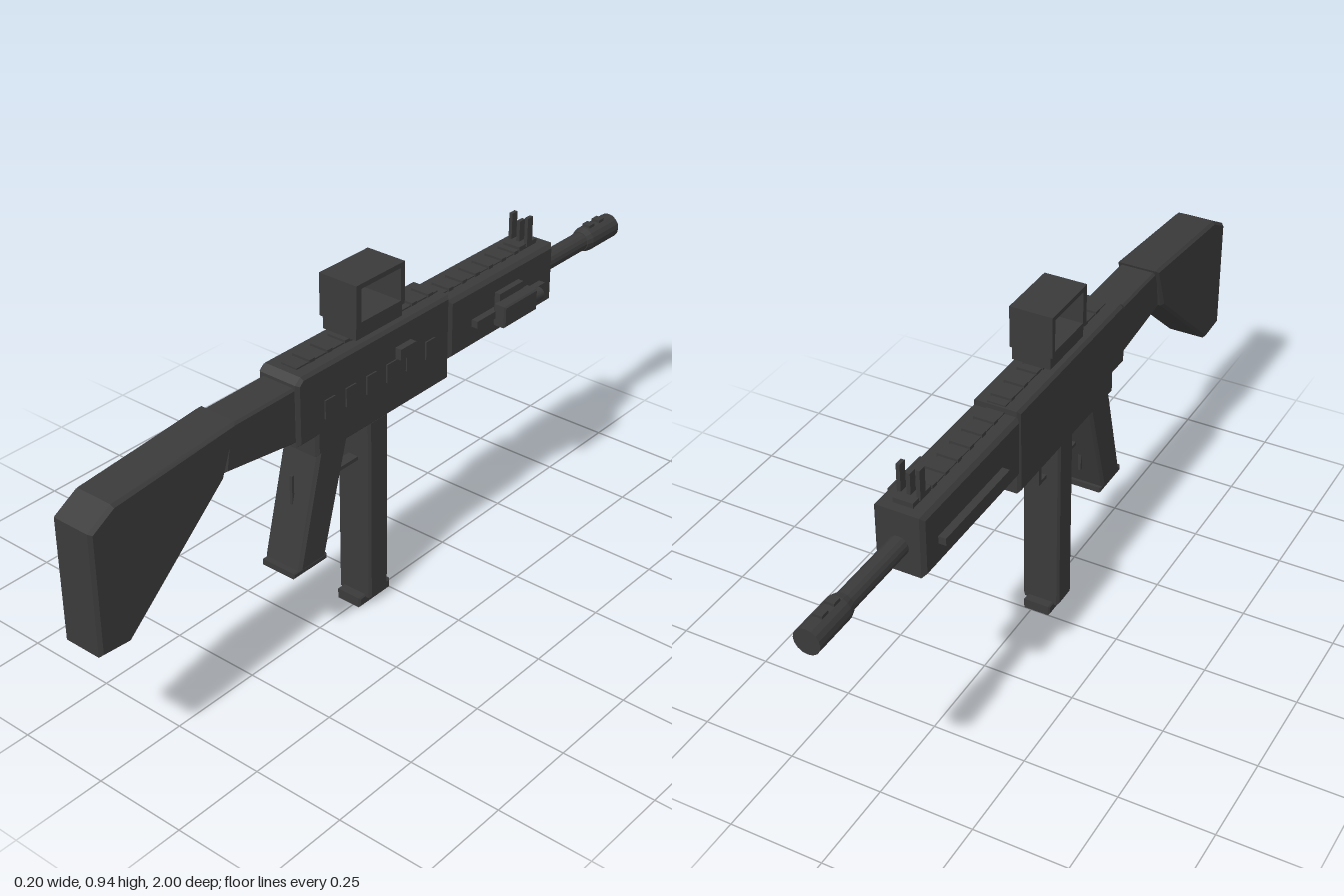
import * as THREE from 'three';

const CX = -0.016; // centre plane of the gun body

export function createModel() {
  const model = new THREE.Group();
  const gunmetal = new THREE.MeshStandardMaterial({ color: 0x3a3a3a });
  gunmetal.name = 'gunmetal';

  const add = (name, geometry) => {
    const mesh = new THREE.Mesh(geometry, gunmetal);
    mesh.name = name;
    model.add(mesh);
    return mesh;
  };

  // Box given by its extents
  const box = (name, x0, x1, y0, y1, z0, z1) => {
    const g = new THREE.BoxGeometry(x1 - x0, y1 - y0, z1 - z0);
    g.translate((x0 + x1) / 2, (y0 + y1) / 2, (z0 + z1) / 2);
    return add(name, g);
  };

  // Side profile of [z, y] points, extruded across x with chamfered edges
  const slab = (name, points, x0, x1, bevel = 0, hole = null) => {
    const toVec = (p) => new THREE.Vector2(p[0], p[1]);
    const shape = new THREE.Shape(points.map(toVec));
    if (hole) shape.holes.push(new THREE.Path(hole.map(toVec)));
    const g = new THREE.ExtrudeGeometry(shape, {
      depth: x1 - x0 - 2 * bevel, bevelEnabled: bevel > 0,
      bevelThickness: bevel, bevelSize: bevel, bevelOffset: -bevel, bevelSegments: 1,
    });
    g.rotateY(-Math.PI / 2);
    g.translate(x1 - bevel, 0, 0);
    return add(name, g);
  };
  const rect = (z0, z1, y0, y1) => [[z0, y0], [z1, y0], [z1, y1], [z0, y1]];

  // Turned part along the barrel axis, profile of [radius, z] points
  const turned = (name, profile) => {
    const g = new THREE.LatheGeometry(profile.map(([r, z]) => new THREE.Vector2(r, -z)), 16);
    g.rotateX(-Math.PI / 2);
    g.translate(CX, 0.672, 0);
    return add(name, g);
  };

  // Stock and its neck
  slab('stock', [[1, 0.37], [1, 0.69], [0.93, 0.73], [0.555, 0.762], [0.6, 0.635], [0.91, 0.363]],
    -0.075, 0.043, 0.008);
  slab('stockNeck', [[0.59, 0.64], [0.57, 0.755], [0.34, 0.757], [0.34, 0.607]], -0.067, 0.035, 0.006);

  // Receiver and fore-end
  slab('receiver', [[0.358, 0.6], [0.358, 0.765], [0.34, 0.78], [-0.205, 0.78], [-0.205, 0.545],
    [0.295, 0.545], [0.295, 0.6]], -0.08, 0.045, 0.008);
  slab('foreEnd', rect(-0.64, -0.2, 0.6, 0.765), -0.081, 0.049, 0.01);
  slab('lowerRail', rect(-0.58, -0.29, 0.577, 0.605), -0.046, 0.014, 0.004);

  // Side rails along the fore-end
  box('leftRail', 0.045, 0.068, 0.66, 0.68, -0.58, -0.29);
  box('rightRail', -0.101, -0.078, 0.66, 0.68, -0.58, -0.29);

  // Side lamp with its knob
  slab('sideLamp', rect(-0.505, -0.365, 0.64, 0.7), 0.06, 0.098, 0.004);
  box('lampClamp', 0.046, 0.066, 0.645, 0.72, -0.485, -0.385);
  const lampHead = new THREE.CylinderGeometry(0.018, 0.018, 0.04, 12);
  lampHead.rotateX(Math.PI / 2);
  lampHead.translate(0.078, 0.668, -0.52);
  add('lampHead', lampHead);

  // Bolt knob and raised ribs on the left wall
  box('boltKnob', 0.04, 0.063, 0.692, 0.722, -0.05, 0.008);
  for (let i = 0; i < 6; i++) {
    const z = 0.25 - i * 0.075;
    box('wallRib', 0.04, 0.049, 0.64, 0.69, z - 0.018, z + 0.018);
  }

  // Top rail with teeth
  box('topRail', -0.04, 0.008, 0.77, 0.784, -0.2, 0.32);
  for (let i = 0; i < 8; i++) {
    const z = 0.27 - i * 0.0625;
    box('railTooth', -0.043, 0.012, 0.782, 0.79, z - 0.009, z + 0.009);
  }
  box('frontRail', -0.04, 0.008, 0.76, 0.768, -0.54, -0.2);
  for (let i = 0; i < 6; i++) {
    const z = -0.25 - i * 0.055;
    box('railTooth', -0.043, 0.012, 0.764, 0.774, z - 0.009, z + 0.009);
  }

  // Optic: a hollow housing on a mount
  box('opticFoot', -0.043, 0.012, 0.778, 0.797, -0.02, 0.135);
  box('opticMount', -0.067, 0.036, 0.792, 0.83, -0.028, 0.143);
  slab('opticHousing', rect(-0.03, 0.147, 0.826, 0.938), -0.073, 0.042, 0,
    rect(-0.016, 0.129, 0.838, 0.925));

  // Front sight with three prongs
  box('sightBase', -0.042, 0.01, 0.76, 0.778, -0.615, -0.54);
  [[-0.025, 0.85], [0, 0.835], [0.025, 0.85]].forEach(([dx, top]) =>
    box('sightProng', CX + dx - 0.005, CX + dx + 0.005, 0.77, top, -0.59, -0.568));

  // Barrel and muzzle
  turned('barrel', [[0, -0.62], [0.026, -0.62], [0.026, -0.88], [0, -0.88]]);
  turned('muzzle', [[0, -0.86], [0.028, -0.86], [0.034, -0.88], [0.034, -1], [0, -1]]);
  model.children.slice(-2).forEach((m) => {
    m.geometry = m.geometry.toNonIndexed();
    m.geometry.computeVertexNormals();
  });
  for (const z of [-0.9, -0.945])
    box('muzzleRib', CX - 0.012, CX + 0.012, 0.695, 0.712, z - 0.012, z + 0.012);

  // Pistol grip
  slab('grip', [[0.285, 0.56], [0.365, 0.25], [0.27, 0.25], [0.18, 0.56]], -0.073, 0.043, 0.008);
  slab('gripBase', rect(0.26, 0.38, 0.238, 0.254), -0.068, 0.038, 0.003);
  box('gripStrip', CX - 0.004, CX + 0.004, 0.39, 0.485, 0.318, 0.325);
  box('gripStrip', CX - 0.004, CX + 0.004, 0.31, 0.4, 0.238, 0.245);

  // Guard and magazine
  box('guardBar', -0.031, -0.001, 0.428, 0.438, -0.015, 0.185);
  box('guardPost', -0.031, -0.001, 0.428, 0.55, -0.015, -0.003);
  slab('magazine', rect(0.024, 0.096, 0.022, 0.55), -0.068, 0.037, 0.006);
  slab('magazineBase', rect(0, 0.121, 0.002, 0.03), -0.054, 0.023, 0.004);
  box('magazineCatch', -0.03, 0.0, 0.485, 0.51, 0.005, 0.03);

  model.updateMatrixWorld(true);
  const bounds = new THREE.Box3().setFromObject(model);
  model.position.y = -bounds.min.y;
  return model;
}
